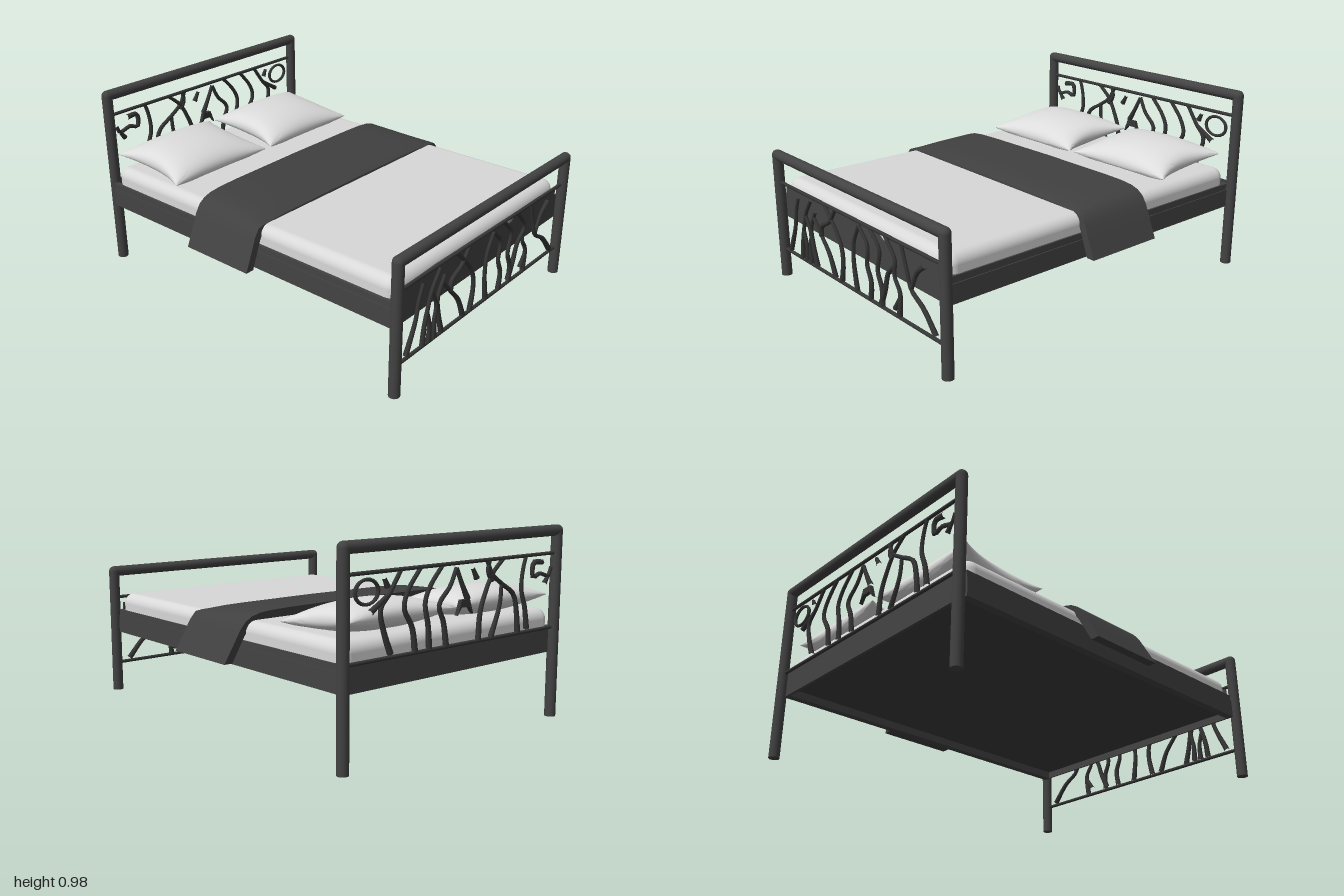
import * as THREE from 'three';
import { toCreasedNormals } from 'three/addons/utils/BufferGeometryUtils.js';
import { RoundedBoxGeometry } from 'three/addons/geometries/RoundedBoxGeometry.js';

const material = (name, color, side = THREE.FrontSide) => {
  const m = new THREE.MeshStandardMaterial({ color, side });
  m.name = name;
  return m;
};

// Branch paths as [x, y]; y runs from 0 at the upper rail to -0.37 at the lower one
const headBranches = [
  [[-.45, 0], [-.43, -.06], [-.42, -.16], [-.45, -.25], [-.47, -.36]],
  [[-.16, 0], [-.20, -.07], [-.27, -.12], [-.36, -.18], [-.39, -.28], [-.40, -.37]],
  [[-.28, 0], [-.20, -.07], [-.15, -.16], [-.12, -.24], [-.11, -.37]],
  [[-.18, 0], [-.17, -.05], [-.20, -.10]],
  [[-.27, -.12], [-.26, -.22], [-.20, -.37]],
  [[-.06, -.03], [-.09, -.08]],
  [[.05, -.02], [.01, -.10], [-.03, -.17]],
  [[.05, -.02], [.09, -.10], [.16, -.18], [.13, -.26], [.11, -.37]],
  [[.14, 0], [.22, -.09], [.25, -.16], [.23, -.26], [.22, -.37]],
  [[.28, 0], [.36, -.10], [.38, -.17], [.33, -.26], [.31, -.37]],
  [[.40, 0], [.47, -.10], [.52, -.16], [.50, -.26], [.46, -.36]],
  [[.47, -.10], [.58, -.17]],
  [[.50, -.03], [.48, -.07]],
  [[-.65, -.07], [-.63, -.11], [-.56, -.095], [-.51, -.11], [-.51, -.04], [-.575, -.04]],
  [[-.63, -.11], [-.60, -.15]],
];
const footBranches = [
  [[-.53, -.04], [-.56, -.12], [-.58, -.21], [-.645, -.36]],
  [[-.40, -.02], [-.46, -.11], [-.49, -.20], [-.51, -.28], [-.52, -.37]],
  [[-.49, -.21], [-.47, -.28], [-.47, -.37]],
  [[-.36, -.07], [-.41, -.17], [-.40, -.26], [-.37, -.37]],
  [[-.46, -.12], [-.42, -.20], [-.43, -.28], [-.43, -.37]],
  [[-.38, -.10], [-.31, -.18], [-.24, -.26], [-.19, -.37]],
  [[-.16, 0], [-.22, -.08], [-.30, -.13], [-.31, -.18]],
  [[-.27, 0], [-.18, -.09], [-.12, -.18], [-.11, -.26], [-.13, -.37]],
  [[.05, -.02], [0, -.12], [-.01, -.22], [.01, -.37]],
  [[.05, -.02], [.12, -.10], [.11, -.20], [.14, -.28], [.13, -.37]],
  [[.14, 0], [.22, -.09], [.20, -.20], [.23, -.28], [.23, -.37]],
  [[.27, 0], [.35, -.11], [.29, -.18], [.26, -.27], [.22, -.36]],
  [[.35, -.11], [.34, -.18], [.38, -.25], [.37, -.37]],
  [[.38, -.27], [.34, -.34]],
  [[.40, 0], [.44, -.12], [.47, -.20], [.56, -.26], [.65, -.36]],
  [[.47, -.20], [.52, -.10], [.58, -.05]],
];

export function createModel() {
  const frameMat = material('charcoal metal', 0x434343);
  const branchMat = material('dark iron', 0x363636);
  const underMat = material('underside black', 0x3d3d3d);
  const sheetMat = material('mattress grey', 0xd8d8d8);
  const pillowMat = material('pillow grey', 0xdcdcdc, THREE.DoubleSide);
  const throwMat = material('throw charcoal', 0x404040);

  const bed = new THREE.Group();
  bed.name = 'bed';

  const add = (parent, name, geo, mat, x = 0, y = 0, z = 0) => {
    const mesh = new THREE.Mesh(geo, mat);
    mesh.name = name;
    mesh.position.set(x, y, z);
    parent.add(mesh);
    return mesh;
  };
  const box = (name, w, h, d, x, y, z, mat = frameMat) =>
    add(bed, name, new THREE.BoxGeometry(w, h, d), mat, x, y, z);
  const bar = (parent, name, x0, x1, y, z, r, mat) => {
    const geo = new THREE.CylinderGeometry(r, r, x1 - x0, 20).rotateZ(Math.PI / 2);
    return add(parent, name, geo, mat, (x0 + x1) / 2, y, z);
  };

  // A branch is a tube that thickens towards its lower end
  function branchGeometry(points) {
    const curve = new THREE.CatmullRomCurve3(points.map(([x, y]) => new THREE.Vector3(x, y, 0)));
    const steps = 16, sides = 6;
    const geo = new THREE.TubeGeometry(curve, steps, 0.01, sides);
    const p = geo.attributes.position, v = new THREE.Vector3();
    for (let i = 0; i < p.count; i++) {
      const t = Math.floor(i / (sides + 1)) / steps, c = curve.getPointAt(t);
      v.fromBufferAttribute(p, i).sub(c).multiplyScalar(1 + 0.5 * t * t).add(c);
      p.setXYZ(i, v.x, v.y, v.z);
    }
    return geo;
  }

  // One end of the bed: posts, top bar, corner balls, thin rails and branches
  function bedEnd(name, xl, xr, top, railY, z, branches) {
    const g = new THREE.Group();
    g.name = name;
    bed.add(g);
    const r = 0.028, barY = top - r;
    for (const x of [xl, xr]) {
      add(g, 'post', new THREE.CylinderGeometry(r, r, barY, 20), frameMat, x, barY / 2, z);
      add(g, 'corner', new THREE.SphereGeometry(r, 20, 12), frameMat, x, barY, z);
    }
    bar(g, 'topBar', xl, xr, barY, z, r, frameMat);
    bar(g, 'upperRail', xl, xr, railY, z, 0.009, branchMat);
    bar(g, 'lowerRail', xl, xr, railY - 0.375, z, 0.009, branchMat);
    for (const points of branches) add(g, 'branch', branchGeometry(points), branchMat, 0, railY, z);
    return g;
  }
  const head = bedEnd('headboard', -0.69, 0.73, 0.98, 0.84, -0.972, headBranches);
  bedEnd('footboard', -0.722, 0.728, 0.705, 0.53, 0.972, footBranches);

  // Headboard ornaments: an oval ring and an arched knot
  const ring = add(head, 'ringOrnament', new THREE.TorusGeometry(0.06, 0.009, 6, 24), branchMat, .6, .76, -.972);
  ring.scale.set(1.1, .88, 1);
  const knot = new THREE.Shape([[-.06, -.24], [-.035, -.17], [.02, -.17], [.045, -.24], [.02, -.205], [-.03, -.205]]
    .map(([x, y]) => new THREE.Vector2(x, y)));
  add(head, 'branchKnot', new THREE.ExtrudeGeometry(knot, { depth: .02, bevelEnabled: false }),
    branchMat, 0, .84, -.982);

  // Frame: stepped side rails, head rail and the recessed dark underside
  for (const s of [-1, 1]) {
    box('sideRail', 0.04, 0.095, 1.9, s * 0.70, 0.3825, 0);
    box('sideRailLip', 0.025, 0.035, 1.9, s * 0.702, 0.445, 0);
  }
  box('headRail', 1.42, 0.13, 0.015, 0.01, 0.4, -0.952);
  box('bedBase', 1.38, 0.05, 1.888, 0, 0.4, 0, underMat);

  // Foot rail with a small scooped notch
  const foot = new THREE.Shape();
  foot.moveTo(-.70, .337);
  foot.lineTo(.70, .337);
  foot.lineTo(.69, .50);
  foot.lineTo(.275, .515);
  foot.quadraticCurveTo(.265, .48, .23, .48);
  foot.quadraticCurveTo(.195, .485, .18, .515);
  foot.lineTo(-.40, .52);
  foot.lineTo(-.69, .51);
  add(bed, 'footRail', new THREE.ExtrudeGeometry(foot, { depth: .009, bevelEnabled: false }),
    frameMat, 0, 0, .944);

  // Mattress
  add(bed, 'mattress', new RoundedBoxGeometry(1.405, 0.155, 1.88, 5, 0.055), sheetMat, 0.003, 0.4775, 0);

  // Throw: a draped cross-section pulled along z, then skewed and sloped
  const drape = [[0, .60], [.45, .597], [.56, .594], [.63, .587], [.675, .574], [.71, .552], [.74, .512], [.775, .445], [.82, .36]];
  const inner = [[.775, .36], [.715, .48], [.68, .535], [.60, .545], [0, .545]];
  const half = [...drape, ...inner];
  const other = half.slice(1, -1).reverse().map(([x, y]) => [-x, y]);
  const section = new THREE.Shape([...half, ...other].map(([x, y]) => new THREE.Vector2(x, y)));
  const throwGeo = new THREE.ExtrudeGeometry(section, { depth: 0.42, steps: 12, bevelEnabled: false });
  const tp = throwGeo.attributes.position;
  for (let i = 0; i < tp.count; i++) {
    const x = tp.getX(i), y = tp.getY(i), t = tp.getZ(i) / 0.42;
    const onTop = THREE.MathUtils.smoothstep(y, 0.545, 0.6);
    tp.setY(i, y - onTop * (0.014 * t + 0.02 * Math.pow(t, 6)));
    tp.setZ(i, -0.27 + t * 0.42 + (0.6 - y) * 0.1 + x * 0.012 * t);
  }
  add(bed, 'throwBlanket', toCreasedNormals(throwGeo, 0.9), throwMat);

  // Pillows: plump in the middle, pinched edges, pointed corners, resting flat on the mattress
  function pillow(x, w) {
    const geo = new THREE.BoxGeometry(2, 1, 2, 28, 1, 28);
    const p = geo.attributes.position;
    for (let i = 0; i < p.count; i++) {
      const up = p.getY(i) > 0;
      // even angular steps crowd the grid towards the seams
      const u = Math.sin(p.getX(i) * Math.PI / 2), v = Math.sin(p.getZ(i) * Math.PI / 2);
      const a = Math.max(0, 1 - u * u), b = Math.max(0, 1 - v * v);
      const h = Math.pow(a * b, 0.45) * (up ? 0.085 : -0.07);
      const seam = 0.602 - 0.025 * v;
      p.setXYZ(i, u * w * (1 - 0.17 * b * u * u), Math.max(0.557, seam + h), v * 0.23 * (1 - 0.08 * a * v * v));
    }
    add(bed, 'pillow', toCreasedNormals(geo, 0.9), pillowMat, x, 0, -0.7);
  }
  pillow(-0.352, 0.332);
  pillow(0.34, 0.328);

  return bed;
}
